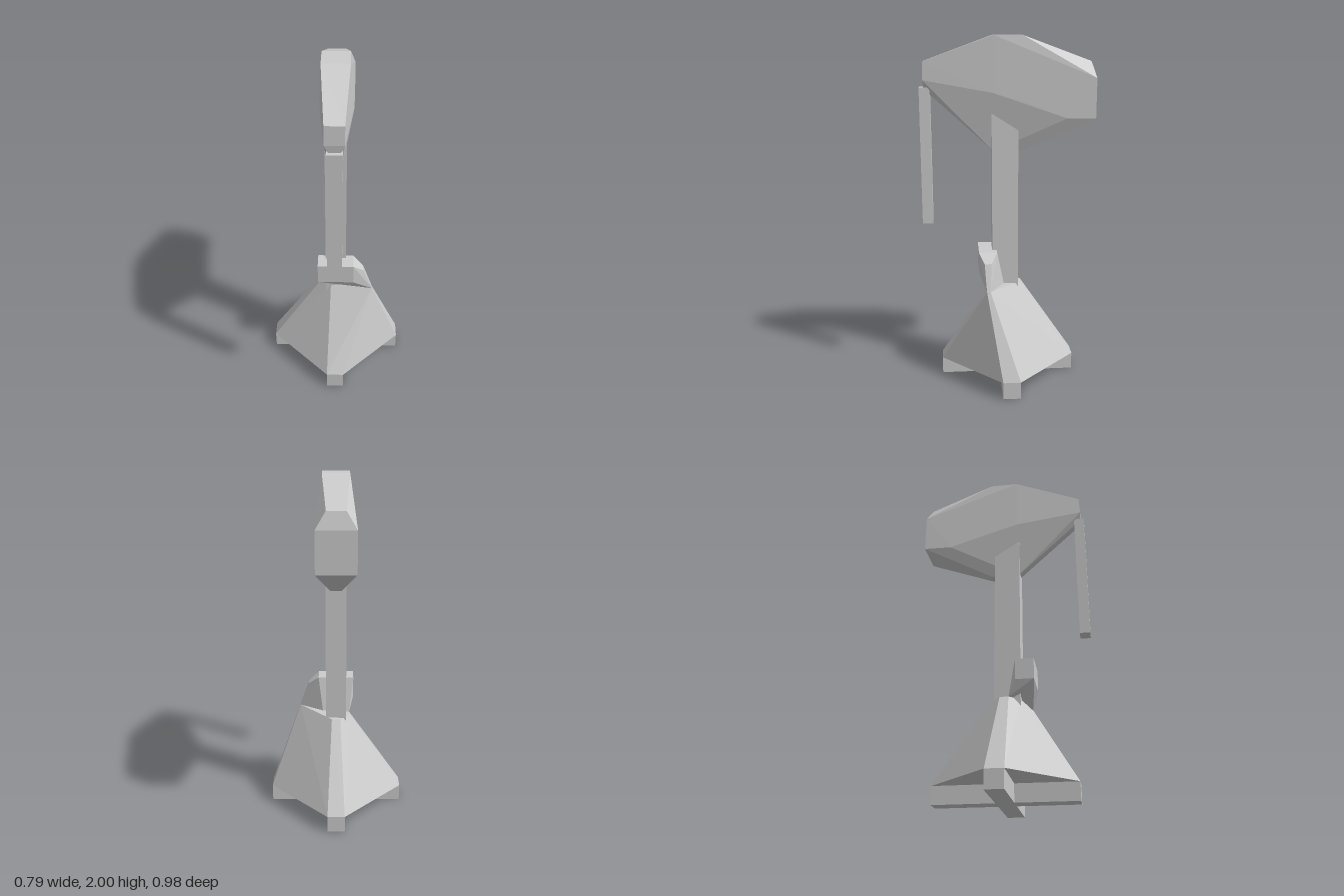
import * as THREE from 'three';
import { ConvexGeometry } from 'three/addons/geometries/ConvexGeometry.js';

export function createModel() {
  const model = new THREE.Group();
  model.name = 'pumpjack';
  const grey = new THREE.MeshStandardMaterial({ color: 0xcccccc, flatShading: true });
  grey.name = 'light grey';

  function add(name, geometry) {
    const mesh = new THREE.Mesh(geometry, grey);
    mesh.name = name;
    model.add(mesh);
    return mesh;
  }

  // Box given by its lower and upper corners
  function box(name, [x0, y0, z0], [x1, y1, z1]) {
    const mesh = add(name, new THREE.BoxGeometry(x1 - x0, y1 - y0, z1 - z0));
    mesh.position.set((x0 + x1) / 2, (y0 + y1) / 2, (z0 + z1) / 2);
  }

  // Faceted solid around a few corner points
  function solid(name, points) {
    add(name, new ConvexGeometry(points.map((p) => new THREE.Vector3(...p))));
  }
  const mirrored = (points) => points.flatMap(([x, y, z]) => [[x, y, z], [-x, y, z]]);

  // Crossed feet
  box('footBarAcross', [-0.395, 0, -0.05], [0.395, 0.1, 0.05]);
  box('footBarFront', [-0.05, 0, 0.05], [0.05, 0.1, 0.395]);
  box('footBarBack', [-0.05, 0, -0.395], [0.05, 0.1, -0.05]);

  // Sloped base, its top drawn out towards one front corner
  const rim = [];
  for (const s of [-1, 1]) {
    for (const t of [-0.05, 0.05]) rim.push([s * 0.395, 0.1, t], [t, 0.1, s * 0.395]);
  }
  solid('base', [
    ...rim,
    [-0.08, 0.57, -0.025], [-0.08, 0.57, 0.025],
    [-0.025, 0.57, -0.08], [0.025, 0.57, -0.08],
    [-0.03, 0.57, 0.085], [0.22, 0.58, 0.11], [0.22, 0.58, 0.13],
  ]);

  // Counterweight block with a tapering nose
  const block = [];
  for (const x of [-0.105, 0.105]) {
    for (const y of [0.66, 0.78]) block.push([x, y, 0.065], [x, y, 0.17]);
  }
  solid('crankBlock', [
    ...block,
    [0.165, 0.73, 0.1], [0.165, 0.73, 0.14],
    [0.22, 0.58, 0.11], [0.22, 0.58, 0.13],
    [-0.08, 0.57, 0.025], [-0.03, 0.57, 0.08], [0.08, 0.58, 0.025],
  ]);

  // Upright post and hanging rod
  box('post', [-0.06, 0.46, -0.06], [0.06, 1.62, 0.09]);
  box('hangingRod', [-0.04, 0.945, 0.43], [0.04, 1.72, 0.49]);

  // Rocking head, wide at the back and narrow at the front
  solid('head', mirrored([
    [0.05, 1.86, 0.465], [0.05, 1.76, 0.47], [0.03, 1.72, 0.465], [0.025, 1.69, 0.44],
    [0.075, 2, 0.08], [0.075, 2, -0.08],
    [0.05, 1.86, -0.465], [0.105, 1.77, -0.49], [0.105, 1.55, -0.49],
    [0.1, 1.55, -0.33], [0.08, 1.69, 0.08], [0.088, 1.645, -0.08],
    [0.05, 1.43, -0.08], [0.03, 1.36, -0.08], [0.025, 1.36, 0.08],
  ]));

  return model;
}
